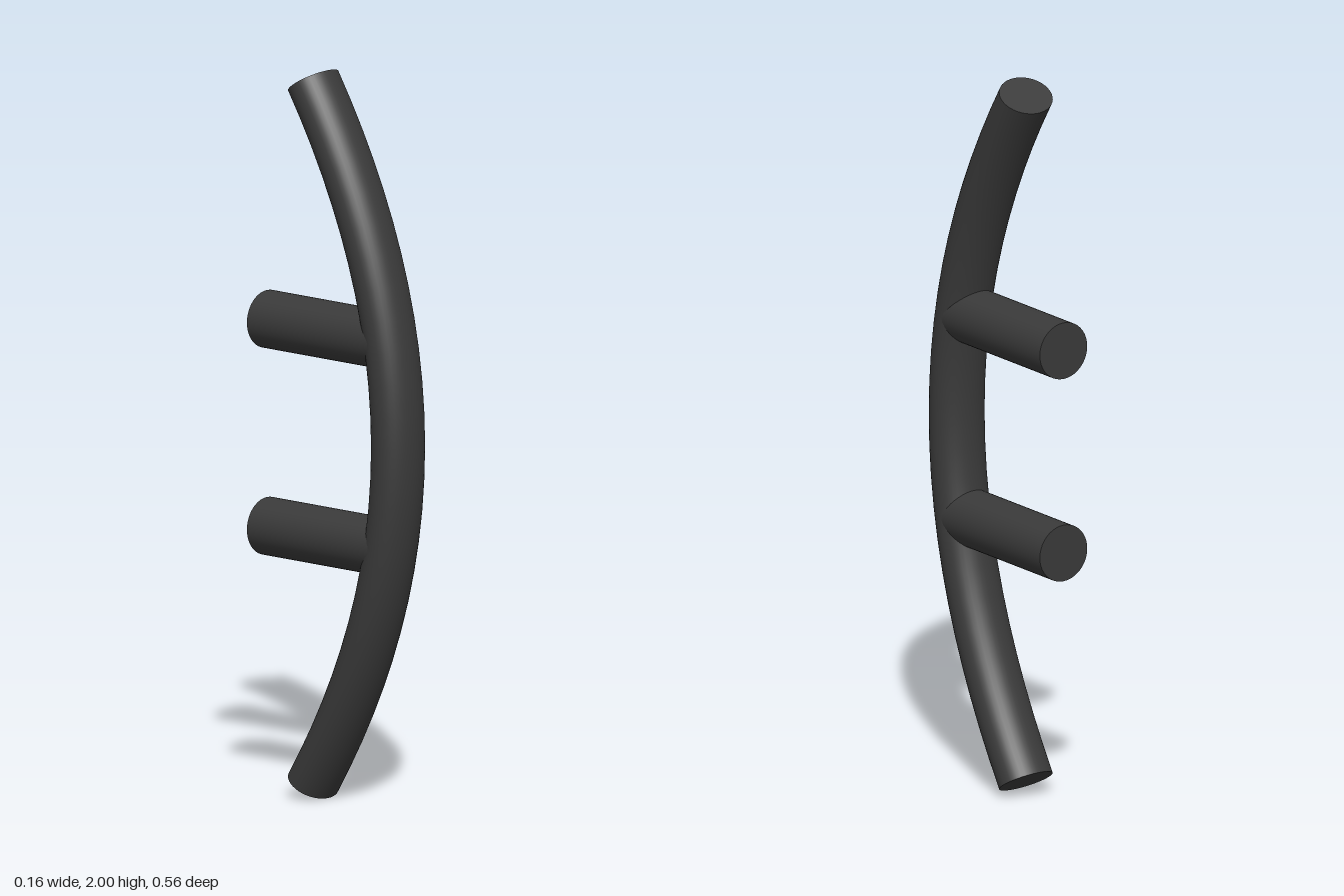
import * as THREE from 'three';

const BAR_DEPTH = 0.066;  // bar half thickness, front to back
const BAR_WIDTH = 0.08;   // bar half width
const POST_RADIUS = 0.079;

export function createModel() {
  const group = new THREE.Group();
  group.name = 'pullHandle';
  const material = new THREE.MeshStandardMaterial({ color: 0x3a3a3a });
  const add = (name, geometry) => {
    const mesh = new THREE.Mesh(geometry, material);
    mesh.name = name;
    group.add(mesh);
  };

  // Bowed grip bar with an oval section
  const path = new THREE.QuadraticBezierCurve3(
    new THREE.Vector3(0, 0.036, -0.107),
    new THREE.Vector3(0, 1, 0.531),
    new THREE.Vector3(0, 1.964, -0.107));
  const widen = BAR_WIDTH / BAR_DEPTH;
  add('gripBar', new THREE.TubeGeometry(path, 24, BAR_DEPTH, 40).scale(widen, 1, 1));

  // Flat caps square to the bar's ends
  const slope = Math.atan2(0.638, 0.964);
  for (const [name, t, side] of [['bottomCap', 0, 1], ['topCap', 1, -1]]) {
    const end = path.getPoint(t);
    add(name, new THREE.CircleGeometry(BAR_DEPTH, 40)
      .scale(widen, 1, 1)
      .rotateX(side * (Math.PI / 2 + slope))
      .translate(end.x, end.y, end.z));
  }

  // Round mounting posts running back from inside the bar
  const back = -0.28, front = 0.175;
  for (const [name, y] of [['lowerPost', 0.718], ['upperPost', 1.287]]) {
    add(name, new THREE.CylinderGeometry(POST_RADIUS, POST_RADIUS, front - back, 40)
      .rotateX(Math.PI / 2)
      .translate(0, y, (front + back) / 2));
  }
  return group;
}
